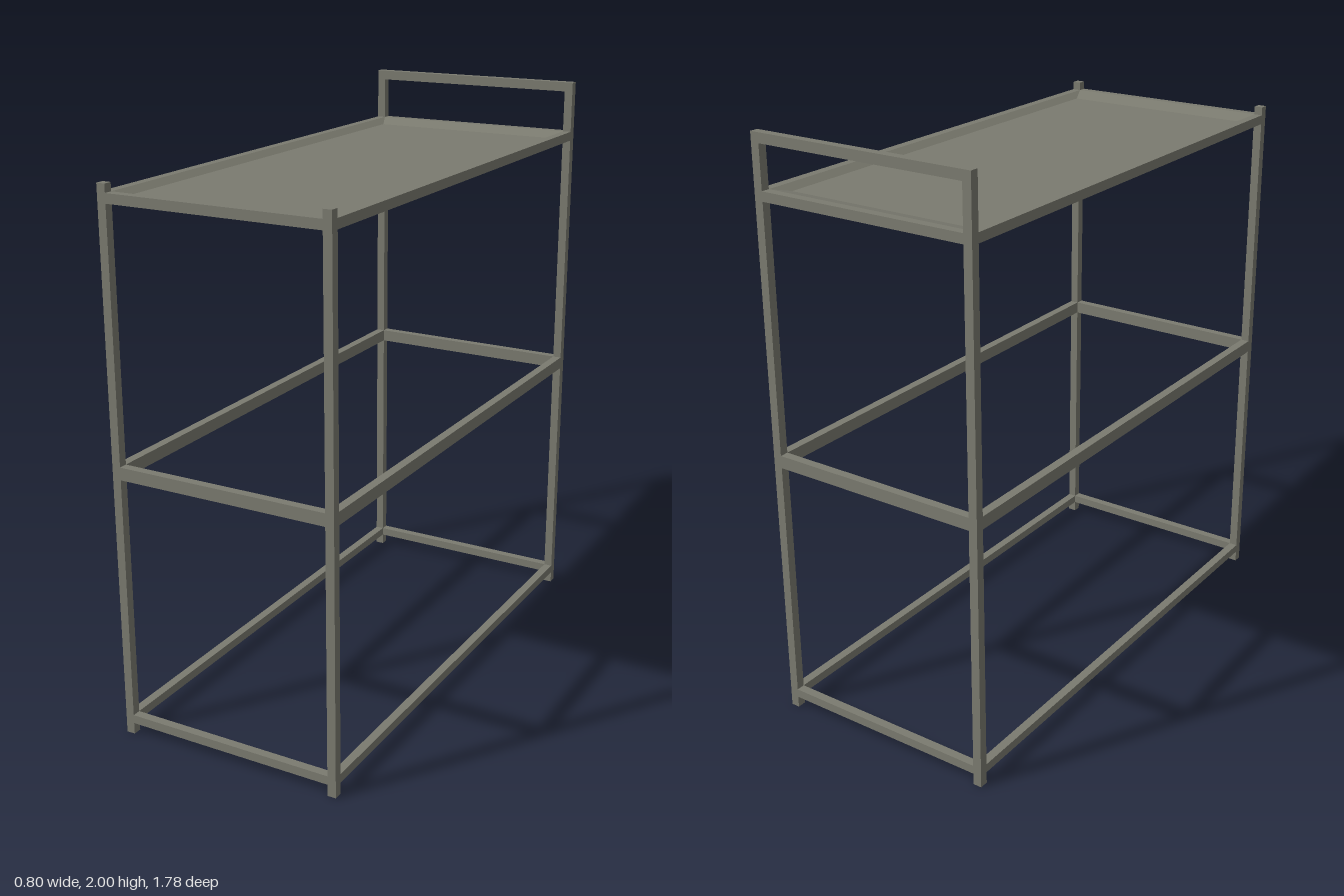
import * as THREE from 'three';

const W = 0.402, D = 0.889, T = 0.03; // half width, half depth, tube thickness

export function createModel() {
  const group = new THREE.Group();
  const metal = new THREE.MeshStandardMaterial({ color: 0x7b7b70 });
  metal.name = 'grey metal';

  // Box given by its minimum and maximum corners
  const bar = (name, x0, x1, y0, y1, z0, z1) => {
    const mesh = new THREE.Mesh(new THREE.BoxGeometry(x1 - x0, y1 - y0, z1 - z0), metal);
    mesh.position.set((x0 + x1) / 2, (y0 + y1) / 2, (z0 + z1) / 2);
    mesh.name = name;
    group.add(mesh);
  };

  // Corner posts: short at the front, tall at the back
  for (const s of [-1, 1]) {
    const x = s * (W - T / 2);
    const side = s > 0 ? 'Left' : 'Right';
    bar('frontPost' + side, x - T / 2, x + T / 2, 0, 1.85, D - T, D);
    bar('backPost' + side, x - T / 2, x + T / 2, 0, 2, -D, -D + T);
  }

  // Handle bar joining the back posts
  bar('handleBar', -W + T, W - T, 1.967, 2, -D, -D + T);

  // Bottom and middle rail frames
  for (const [name, y0, y1] of [['bottom', 0.04, 0.07], ['middle', 0.91, 0.953]]) {
    for (const s of [-1, 1]) {
      const x = s * (W - T / 2), z = s * (D - T / 2);
      bar(name + 'SideRail', x - T / 2, x + T / 2, y0, y1, -D + T, D - T);
      bar(name + 'EndRail', -W + T, W - T, y0, y1, z - T / 2, z + T / 2);
    }
  }

  // Top tray: rectangular rings from underside to rim, then sloping into a shallow floor
  const rings = [
    [W, 1.79, D],
    [W, 1.822, D],
    [W - T, 1.822, D - T],
    [W - 0.06, 1.805, D - 0.098],
  ].map(([x, y, z]) => [[-x, y, z], [x, y, z], [x, y, -z], [-x, y, -z]]);
  const positions = [];
  const quad = (a, b, c, d) => positions.push(...a, ...b, ...c, ...a, ...c, ...d);
  for (let r = 0; r < 3; r++) {
    for (let i = 0; i < 4; i++) {
      const j = (i + 1) % 4;
      quad(rings[r][i], rings[r][j], rings[r + 1][j], rings[r + 1][i]);
    }
  }
  quad(...rings[3]);
  quad(...[...rings[0]].reverse());
  const trayGeometry = new THREE.BufferGeometry();
  trayGeometry.setAttribute('position', new THREE.Float32BufferAttribute(positions, 3));
  trayGeometry.computeVertexNormals();
  const tray = new THREE.Mesh(trayGeometry, metal);
  tray.name = 'topTray';
  group.add(tray);

  return group;
}
